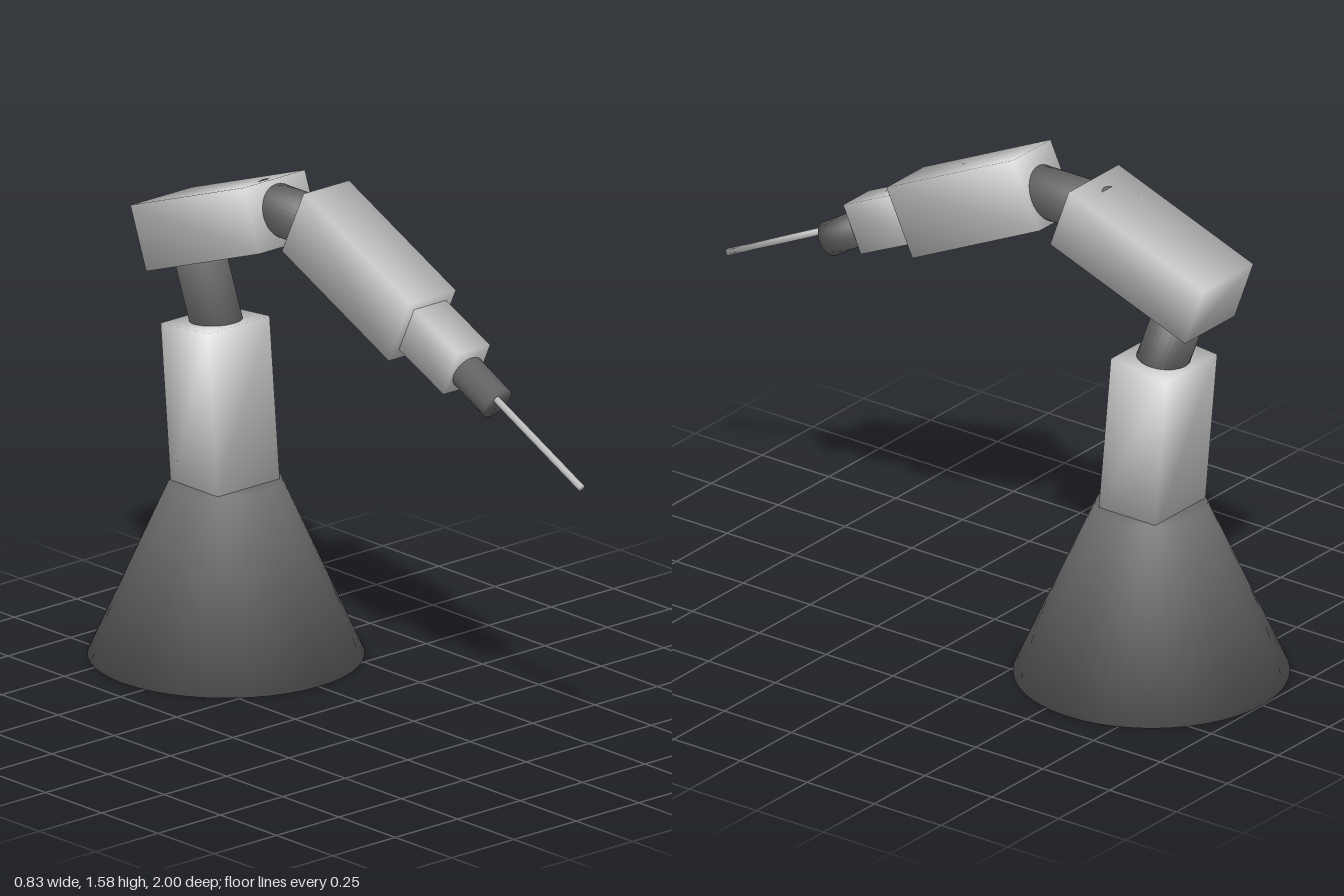
import * as THREE from 'three';

const light = new THREE.MeshStandardMaterial({ color: 0xcccccc });
const dark = new THREE.MeshStandardMaterial({ color: 0x6c6c6c });

// Smooth shading across every edge: each corner averages the faces that meet there
function smooth(geometry) {
  const pos = geometry.attributes.position, nor = geometry.attributes.normal;
  const corners = new Map();
  const keyOf = (v) => v.toArray().map((c) => Math.round(c * 1e4)).join();
  const v = new THREE.Vector3();
  const keys = [];
  for (let i = 0; i < pos.count; i++) {
    const key = keyOf(v.fromBufferAttribute(pos, i));
    keys.push(key);
    if (!corners.has(key)) corners.set(key, new Map());
    v.fromBufferAttribute(nor, i);
    corners.get(key).set(keyOf(v), v.clone());
  }
  keys.forEach((key, i) => {
    v.set(0, 0, 0);
    for (const n of corners.get(key).values()) v.add(n);
    v.normalize();
    nor.setXYZ(i, v.x, v.y, v.z);
  });
  return geometry;
}

export function createModel() {
  const group = new THREE.Group();

  // Lays a part made along y between two points
  function add(name, material, from, to, makeGeometry) {
    const a = new THREE.Vector3(...from), b = new THREE.Vector3(...to);
    const axis = b.clone().sub(a);
    const mesh = new THREE.Mesh(smooth(makeGeometry(axis.length())), material);
    mesh.name = name;
    mesh.position.copy(a).add(b).multiplyScalar(0.5);
    mesh.quaternion.setFromUnitVectors(new THREE.Vector3(0, 1, 0), axis.normalize());
    group.add(mesh);
  }
  const box = (width, depth) => (length) => new THREE.BoxGeometry(width, length, depth);
  const rod = (top, bottom = top, sides = 32) => (length) =>
    new THREE.CylinderGeometry(top, bottom, length, sides);

  // Conical foot and leaning column
  add('base', dark, [0, 0, -0.586], [0, 0.548, -0.586], rod(0.168, 0.413, 48));
  add('column', light, [-0.004, 0.53, -0.584], [-0.004, 1.04, -0.63], box(0.248, 0.21));

  // Shoulder and upper arm
  add('shoulderJoint', dark, [0, 0.97, -0.604], [0, 1.27, -0.72], rod(0.079));
  add('upperArm', light, [-0.004, 1.271, -0.836], [-0.004, 1.455, -0.332], box(0.245, 0.203));

  // Elbow and stepped forearm
  add('elbowJoint', dark, [0, 1.457, -0.42], [0, 1.457, -0.12], rod(0.078));
  add('forearm', light, [0, 1.479, -0.188], [0, 1.255, 0.287], box(0.182, 0.227));
  add('wrist', light, [0, 1.275, 0.25], [0, 1.167, 0.485], box(0.128, 0.158));

  // Tool holder, slightly skewed, and thin tool
  add('toolHolder', dark, [0, 1.188, 0.433], [0.016, 1.087, 0.603], rod(0.054));
  add('tool', light, [0, 1.164, 0.5], [0, 0.925, 0.996], rod(0.011, 0.011, 16));

  return group;
}
